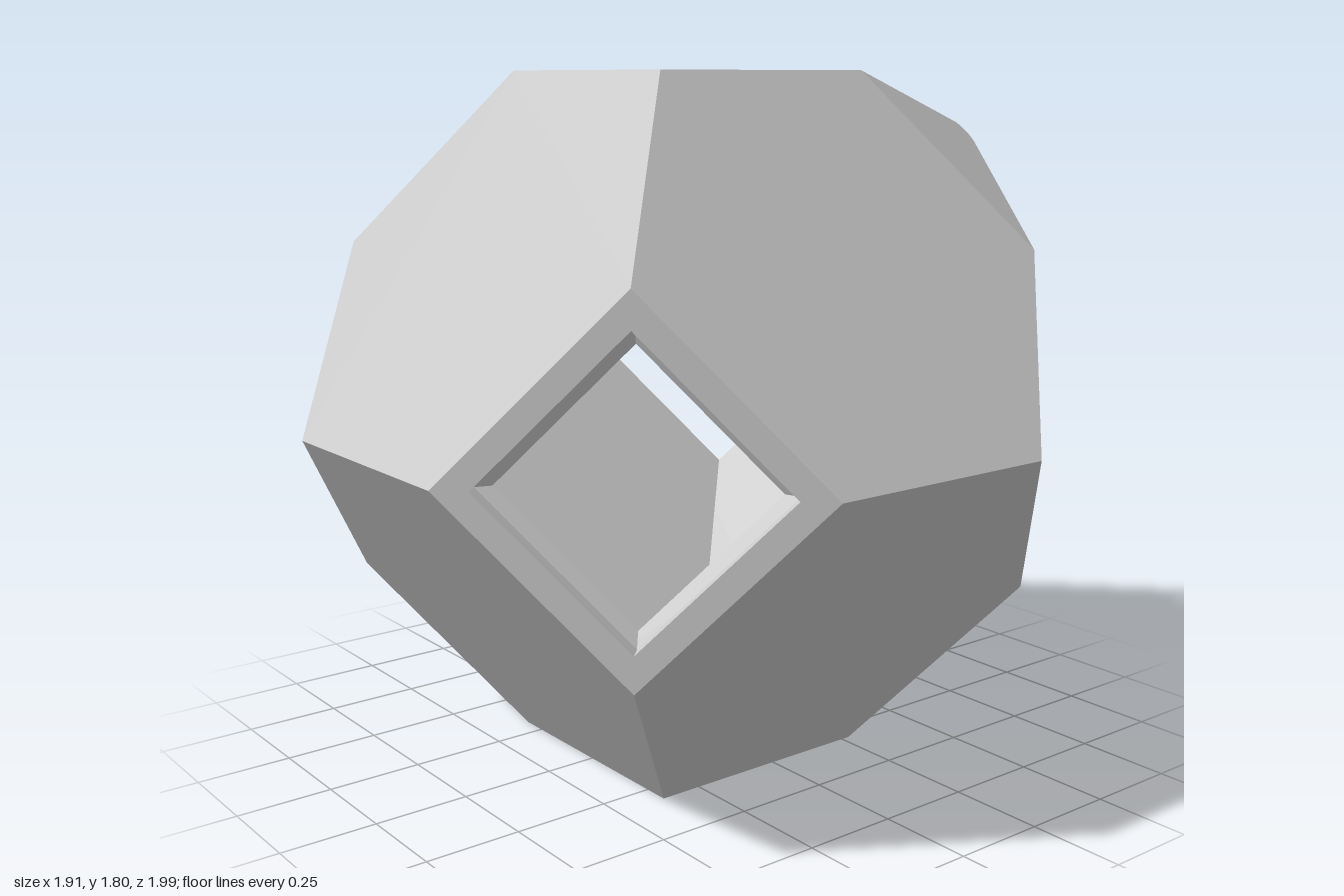
import * as THREE from 'three';

const S = 0.45;                       // unit of the truncated octahedron
const EDGE = S * Math.SQRT2;          // edge length of every face
const APOTHEM = EDGE * Math.sqrt(3) / 2;
const HEX_DIST = S * Math.sqrt(3);    // centre to hexagon face
const SQUARE_DIST = 2 * S;            // centre to square face
const TILT = Math.asin(1 / Math.sqrt(3));
const PANEL = 0.11;                   // thickness of the hexagon panels
const FRAME = 0.05;                   // thickness of the open frames

const material = new THREE.MeshStandardMaterial({ color: 0xcccccc, flatShading: true });
const sheet = new THREE.MeshStandardMaterial({ color: 0xcccccc, side: THREE.DoubleSide });

// Corners of a regular polygon, the first on +x
function polygon(sides, radius) {
  return Array.from({ length: sides }, (_, i) => {
    const a = (i / sides) * Math.PI * 2;
    return new THREE.Vector2(Math.cos(a) * radius, Math.sin(a) * radius);
  });
}

// Plate whose outer side lies at the given distance along +z
function plate(shape, thickness, distance) {
  return new THREE.ExtrudeGeometry(shape, { depth: thickness, bevelEnabled: false })
    .translate(0, 0, distance - thickness);
}

function addFace(parent, name, geometry, yaw, tilt) {
  const mesh = new THREE.Mesh(geometry, material);
  mesh.name = name;
  mesh.rotation.set(tilt, yaw, 0, 'YXZ');
  parent.add(mesh);
  return mesh;
}

// Hexagon with six triangular holes, leaving a rim and six spokes
function spokedHexagon() {
  const shape = new THREE.Shape(polygon(6, EDGE));
  const near = 0.065, far = APOTHEM - 0.06;
  const half = (far - near) / Math.sqrt(3);
  const centre = new THREE.Vector2();
  for (let i = 0; i < 6; i++) {
    const a = Math.PI / 6 + (i * Math.PI) / 3;
    const corners = [[near, 0], [far, -half], [far, half]]
      .map(([x, y]) => new THREE.Vector2(x, y).rotateAround(centre, a));
    shape.holes.push(new THREE.Path(corners));
  }
  return shape;
}

// Triangle with a rounded tip, hinged along its base on y = 0
function petalShape() {
  const r = 0.046;
  const shape = new THREE.Shape();
  shape.moveTo(-EDGE / 2, 0);
  shape.lineTo(EDGE / 2, 0);
  shape.absarc(0, APOTHEM - 2 * r, r, Math.PI / 6, (5 * Math.PI) / 6, false);
  shape.closePath();
  return shape;
}

export function createModel() {
  const model = new THREE.Group();
  model.name = 'facetedShell';
  const shell = new THREE.Group();
  shell.name = 'shell';
  shell.position.set(0, 2 * S, 0.045);
  model.add(shell);

  // Seven solid hexagon panels; the upper back one is open
  const panel = plate(new THREE.Shape(polygon(6, EDGE)), PANEL, HEX_DIST);
  for (let i = 0; i < 4; i++) {
    const yaw = (i * Math.PI) / 2;
    addFace(shell, 'lowerPanel', panel, yaw, TILT);
    if (i !== 2) addFace(shell, 'upperPanel', panel, yaw, -TILT);
  }

  // Window frames in the four side squares; top and bottom stay open
  const window = new THREE.Shape(polygon(4, S));
  window.holes.push(new THREE.Path(polygon(4, 0.36)));
  const windowFrame = plate(window, FRAME, SQUARE_DIST);
  for (let i = 0; i < 4; i++) {
    addFace(shell, 'windowFrame', windowFrame, Math.PI / 4 + (i * Math.PI) / 2, 0);
  }

  // Spoked opening at the upper back
  const opening = addFace(shell, 'spokedFrame', plate(spokedHexagon(), FRAME, HEX_DIST), Math.PI, -TILT);

  // Six flaps swung outward by 45 degrees
  const petalGeometry = new THREE.ShapeGeometry(petalShape(), 10);
  for (let i = 0; i < 6; i++) {
    const pivot = new THREE.Group();
    pivot.name = 'flapHinge';
    pivot.rotation.z = (i * Math.PI) / 3;
    const flap = new THREE.Mesh(petalGeometry, sheet);
    flap.name = 'flap';
    flap.position.set(0, -APOTHEM, HEX_DIST);
    flap.rotation.x = Math.PI / 4;
    pivot.add(flap);
    opening.add(pivot);
  }
  return model;
}
